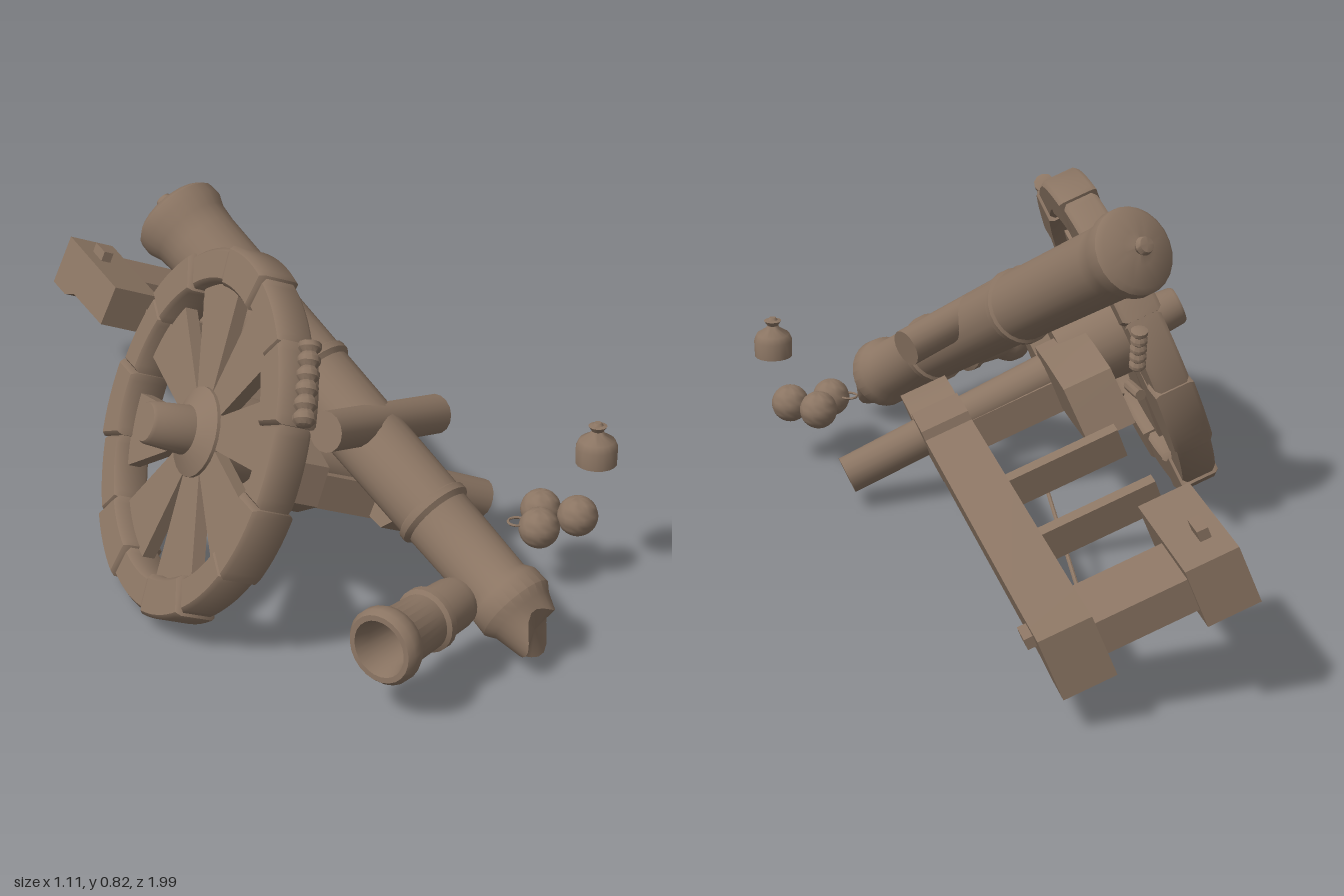
import * as THREE from 'three';
import { toCreasedNormals } from 'three/addons/utils/BufferGeometryUtils.js';

const weathered = new THREE.MeshStandardMaterial({ color: 0x8b7563, side: THREE.DoubleSide });
weathered.name = 'weathered brown';

const V = (x, y, z) => new THREE.Vector3(x, y, z);

function part(parent, name, geometry, position = [0, 0, 0]) {
  const mesh = new THREE.Mesh(toCreasedNormals(geometry, 0.7), weathered);
  mesh.name = name;
  mesh.position.set(...position);
  parent.add(mesh);
  return mesh;
}

// turn a geometry's y axis to run from a towards b, starting at a
function aim(mesh, a, b) {
  mesh.position.copy(a);
  mesh.quaternion.setFromUnitVectors(V(0, 1, 0), b.clone().sub(a).normalize());
  return mesh;
}

const lathe = (points, sides = 24) =>
  new THREE.LatheGeometry(points.map(([r, y]) => new THREE.Vector2(r, y)), sides);

function rod(parent, name, a, b, r, r2 = r, sides = 16) {
  const len = a.distanceTo(b);
  const g = new THREE.CylinderGeometry(r2, r, len, sides).translate(0, len / 2, 0);
  return aim(part(parent, name, g), a, b);
}

// plank cut to a side outline of [z, y] points, w thick along x
function plank(parent, name, outline, w, x) {
  const shape = new THREE.Shape(outline.map(([z, y]) => new THREE.Vector2(z, y)));
  const g = new THREE.ExtrudeGeometry(shape, { depth: w, bevelEnabled: false });
  return part(parent, name, g.translate(0, 0, -w / 2).rotateY(-Math.PI / 2), [x, 0, 0]);
}

function buildBarrel(root) {
  const a = V(-0.325, 0.73, -0.105), b = V(0.25, 0.1, 0.79);
  const g = lathe([
    [0, -0.062], [0.018, -0.058], [0.022, -0.045], [0.016, -0.032], [0.04, -0.026],
    [0.09, -0.018], [0.103, -0.005], [0.104, 0.022], [0.093, 0.05], [0.089, 0.09],
    [0.086, 0.48], [0.093, 0.485], [0.093, 0.5], [0.084, 0.51],
    [0.08, 0.9], [0.087, 0.905], [0.087, 0.92], [0.077, 0.93],
    [0.073, 1.13], [0.086, 1.15], [0.088, 1.19], [0.074, 1.21], [0.06, 1.26], [0, 1.25]]);
  // jagged break at the front end
  const p = g.attributes.position;
  for (let i = 0; i < p.count; i++) {
    if (p.getY(i) < 1.24) continue;
    const x = p.getX(i), z = p.getZ(i), t = Math.atan2(z, x), r = Math.hypot(x, z) / 0.06;
    p.setY(i, p.getY(i) + r * (0.025 * Math.sin(t) + 0.015 * Math.sin(3 * t)));
  }
  g.computeVertexNormals();
  aim(part(root, 'barrel', g), a, b);
  rod(root, 'trunnions', V(-0.125, 0.455, 0.5), V(0.175, 0.365, 0.285), 0.045);

  // snapped-off muzzle with an open bore
  const muzzle = lathe([
    [0, 0], [0.054, 0], [0.057, 0.015], [0.06, 0.09], [0.07, 0.095], [0.07, 0.112], [0.061, 0.118],
    [0.065, 0.21], [0.076, 0.222], [0.083, 0.238], [0.083, 0.258], [0.074, 0.27], [0.062, 0.27],
    [0.05, 0.235], [0.045, 0.15], [0, 0.15]]);
  aim(part(root, 'brokenMuzzle', muzzle), V(0.092, 0.165, 0.77), V(-0.103, 0.174, 0.929));
}

function buildWheel(carriage) {
  const wheel = new THREE.Group();
  wheel.name = 'wheel';
  wheel.position.set(-0.497, 0.03, 0.04);
  carriage.add(wheel);

  // rim blocks, alternately proud and recessed
  const count = 14, step = Math.PI * 2 / count;
  for (let i = 0; i < count; i++) {
    const proud = i % 2, R = proud ? 0.411 : 0.404, r = proud ? 0.322 : 0.328, w = proud ? 0.096 : 0.085;
    const s = new THREE.Shape();
    s.absarc(0, 0, R, i * step, (i + 1) * step, false);
    s.absarc(0, 0, r, (i + 1) * step, i * step, true);
    const g = new THREE.ExtrudeGeometry(s, {
      depth: w - 0.02, curveSegments: 4, bevelSize: 0.008, bevelOffset: -0.008, bevelThickness: 0.01, bevelSegments: 1 });
    part(wheel, 'rimBlock', g.translate(0, 0, -(w - 0.02) / 2).rotateY(Math.PI / 2));
  }
  // wide tapered spokes
  for (let i = 0; i < 8; i++) {
    const s = new THREE.Shape([[-0.03, 0.06], [0.03, 0.06], [0.087, 0.335], [-0.087, 0.335]]
      .map(([x, y]) => new THREE.Vector2(x, y)));
    const g = new THREE.ExtrudeGeometry(s, { depth: 0.03, bevelEnabled: false });
    const spoke = part(wheel, 'spoke', g.translate(0, 0, -0.012).rotateY(Math.PI / 2));
    spoke.rotation.x = (i + 0.5) * Math.PI / 4;
  }
  const hub = lathe([[0, -0.172], [0.092, -0.172], [0.1, -0.06], [0.1, 0.02], [0.055, 0.045], [0.047, 0.135],
    [0.042, 0.142], [0, 0.142]]);
  part(wheel, 'hub', hub.rotateZ(Math.PI / 2));
}

function buildCarriage(root) {
  const carriage = new THREE.Group();
  carriage.name = 'carriage';
  carriage.position.set(0.08, 0.18, 0.2);
  carriage.rotation.set(0, 0.18, -0.38, 'YXZ');
  root.add(carriage);

  // whole side beam and the two remains of its twin
  plank(carriage, 'trailBeam', [
    [-1.21, -0.08], [-1.12, -0.08], [-1.07, -0.05], [-0.12, -0.05], [-0.1, -0.065], [0.16, -0.065],
    [0.2, -0.03], [0.2, 0.05], [0.12, 0.05], [0.09, 0.03], [0.05, 0.03], [0.02, 0.075], [-0.1, 0.075],
    [-0.105, 0.053], [-1.06, 0.053], [-1.2, 0.06]], 0.12, 0);
  plank(carriage, 'brokenBeamFront', [
    [-0.28, -0.05], [-0.12, -0.06], [0.16, -0.065], [0.23, -0.02], [0.22, 0.07], [0.12, 0.09],
    [0.09, 0.05], [0.05, 0.05], [0.02, 0.097], [-0.1, 0.097], [-0.23, 0.08], [-0.25, 0.03]], 0.12, -0.335);
  plank(carriage, 'brokenBeamRear', [
    [-1.21, -0.07], [-1.12, -0.07], [-1.07, -0.05], [-0.86, -0.05], [-0.85, 0.053], [-1.2, 0.06]],
    0.12, -0.325);

  // cross members
  part(carriage, 'rearTransom', new THREE.BoxGeometry(0.27, 0.075, 0.18), [-0.17, 0, -1.1]);
  for (const z of [-0.44, -0.74])
    part(carriage, 'crossBoard', new THREE.BoxGeometry(0.28, 0.075, 0.03), [-0.19, 0.007, z]).rotation.x = -0.15;
  part(carriage, 'axleBed', new THREE.BoxGeometry(0.36, 0.08, 0.12), [-0.17, -0.03, 0.04]);
  rod(carriage, 'axle', V(-0.45, 0.02, 0.04), V(0.26, 0, 0.02), 0.05, 0.045);

  // bolts
  part(carriage, 'sideBolt', new THREE.BoxGeometry(0.03, 0.025, 0.06), [0.065, 0.02, -1.09]);
  part(carriage, 'topBolt', new THREE.BoxGeometry(0.025, 0.03, 0.065), [-0.34, 0.067, -1.08]);
  buildWheel(carriage);
}

function buildDebris(root) {
  // round shot
  for (const [x, z] of [[0.36, 0.49], [0.39, 0.405], [0.46, 0.455]])
    part(root, 'ball', new THREE.SphereGeometry(0.046, 20, 14), [x, 0.163, z]);
  part(root, 'ballRing', new THREE.TorusGeometry(0.02, 0.003, 6, 16).rotateX(Math.PI / 2), [0.315, 0.173, 0.47]);

  // stoppered flask
  part(root, 'flask', lathe([[0, 0], [0.046, 0], [0.047, 0.04], [0.04, 0.056], [0.018, 0.07], [0.013, 0.078],
    [0.021, 0.09], [0.012, 0.092], [0.008, 0.098], [0, 0.098]], 18), [0.498, 0.29, 0.455]);

  // ridged rope scraps
  const rope = (a, b, r, n) => {
    const len = a.distanceTo(b), pts = [[0, 0]];
    for (let i = 0; i < n; i++)
      pts.push([r * 0.65, (i + 0.1) * len / n], [r, (i + 0.4) * len / n], [r, (i + 0.75) * len / n]);
    pts.push([0, len]);
    aim(part(root, 'ropeScrap', lathe(pts, 10)), a, b);
  };
  rope(V(-0.215, 0.565, 0.69), V(-0.17, 0.695, 0.555), 0.025, 6);
  rope(V(-0.34, 0.45, -0.105), V(-0.34, 0.56, -0.14), 0.02, 5);
  rod(root, 'peg', V(-0.32, 0.42, -0.125), V(-0.34, 0.42, -0.19), 0.013, 0.013, 10);
  rod(root, 'thinRod', V(-0.13, 0.18, -0.07), V(-0.185, 0.108, -0.7), 0.005, 0.005, 8);
}

export function createModel() {
  const root = new THREE.Group();
  root.name = 'wreckedFieldGun';
  buildBarrel(root);
  buildCarriage(root);
  buildDebris(root);
  return root;
}
